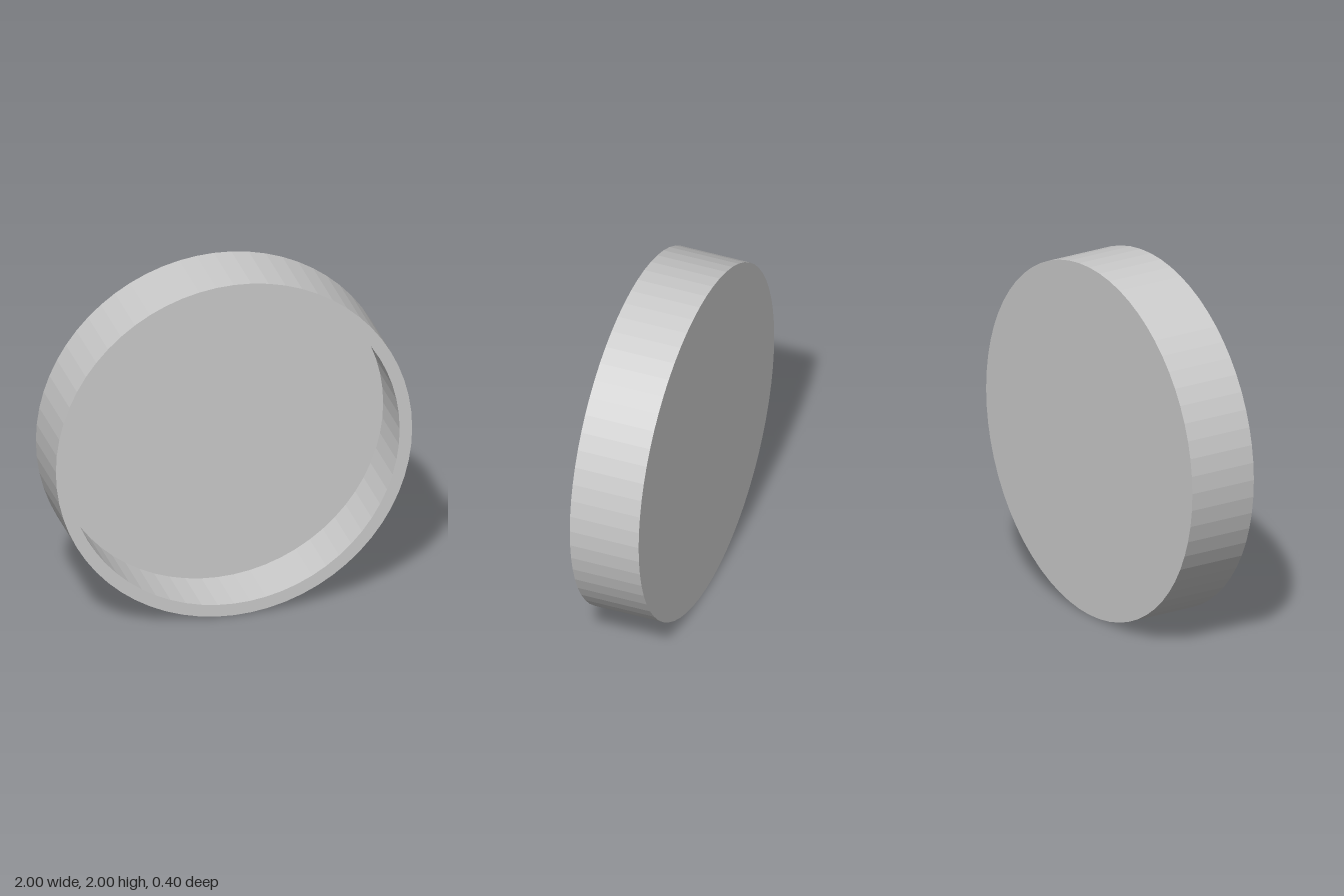
import * as THREE from 'three';

const SIDES = 64;
const RADIUS = 1;
const HALF_DEPTH = 0.2;
const WALL = 0.07;

export function createModel() {
  const group = new THREE.Group();
  group.name = 'roundLid';

  // Cross-section from the closed back, round the rim, to the recessed floor
  const inner = RADIUS - WALL;
  const floor = -HALF_DEPTH + WALL;
  const profile = [
    [0, -HALF_DEPTH],
    [RADIUS, -HALF_DEPTH],
    [RADIUS, HALF_DEPTH],
    [inner, HALF_DEPTH],
    [inner, floor],
    [0, floor],
  ].map(([r, h]) => new THREE.Vector2(r, h));

  // Turn the open side to the front and stand the lid on its edge
  const geometry = new THREE.LatheGeometry(profile, SIDES);
  geometry.rotateX(Math.PI / 2);
  geometry.translate(0, RADIUS, 0);

  const material = new THREE.MeshStandardMaterial({ color: 0xcccccc, flatShading: true });
  const lid = new THREE.Mesh(geometry, material);
  lid.name = 'lidShell';
  group.add(lid);
  return group;
}
